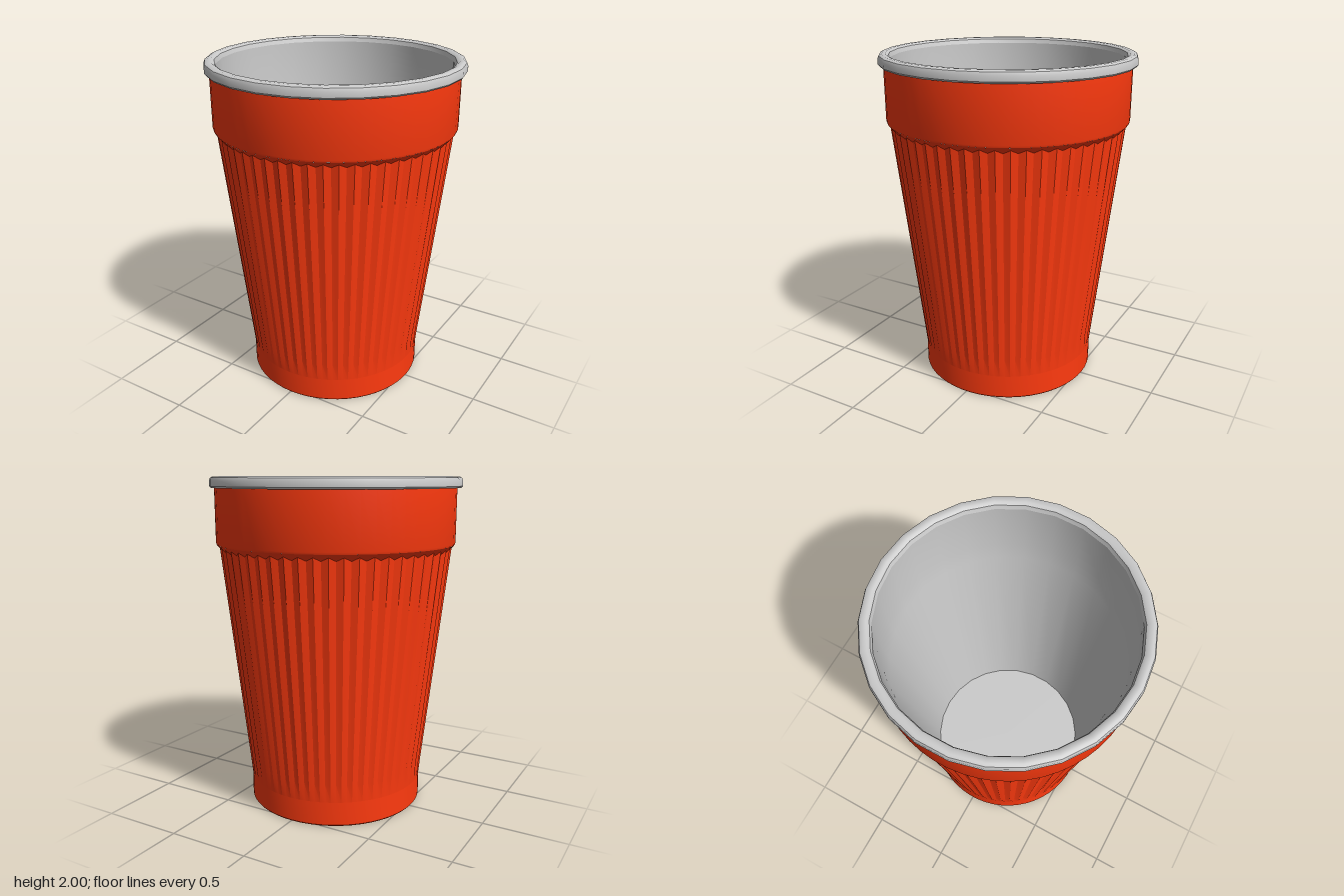
import * as THREE from 'three';
import { toCreasedNormals } from 'three/addons/utils/BufferGeometryUtils.js';

const RIBS = 54;
const red = new THREE.MeshStandardMaterial({ color: 0xff3a0f });
const grey = new THREE.MeshStandardMaterial({ color: 0xcccccc });

// Turned part from [radius, height] pairs; running upwards faces outwards
function turned(name, profile, sides, material) {
  const points = profile.map(([r, y]) => new THREE.Vector2(r, y));
  const geometry = toCreasedNormals(new THREE.LatheGeometry(points, sides), 0.6);
  const mesh = new THREE.Mesh(geometry, material);
  mesh.name = name;
  return mesh;
}

// Pleated wall: each ring has a ridge and a groove [radius, height]
function ribbedWall(rings) {
  const positions = [];
  const index = [];
  const n = RIBS * 2;
  for (const { ridge, groove } of rings) {
    for (let i = 0; i < n; i++) {
      const [r, y] = i % 2 ? groove : ridge;
      const a = (i / n) * Math.PI * 2;
      positions.push(r * Math.sin(a), y, r * Math.cos(a));
    }
  }
  for (let k = 0; k < rings.length - 1; k++) {
    for (let i = 0; i < n; i++) {
      const a = k * n + i;
      const b = k * n + ((i + 1) % n);
      index.push(a, b, a + n, b, b + n, a + n);
    }
  }
  const geometry = new THREE.BufferGeometry();
  geometry.setAttribute('position', new THREE.Float32BufferAttribute(positions, 3));
  geometry.setIndex(index);
  const mesh = new THREE.Mesh(toCreasedNormals(geometry, 0.3), red);
  mesh.name = 'ribbedWall';
  return mesh;
}

export function createModel() {
  const cup = new THREE.Group();
  cup.name = 'cup';

  // Recessed underside, foot ring and plain lower band
  cup.add(turned('base', [
    [0, 0.045], [0.455, 0.045], [0.485, 0.005], [0.495, 0], [0.53, 0],
    [0.537, 0.008], [0.537, 0.16],
  ], 54, red));

  // Tapered ribs, meeting the sloping shoulder in a zigzag edge
  cup.add(ribbedWall([
    { ridge: [0.537, 0.15], groove: [0.537, 0.15] },
    { ridge: [0.549, 0.26], groove: [0.541, 0.26] },
    { ridge: [0.699, 1.59], groove: [0.684, 1.57] },
    { ridge: [0.716, 1.608], groove: [0.716, 1.608] },
  ]));

  // Smooth upper band
  cup.add(turned('upperBand', [[0.716, 1.608], [0.72, 1.62], [0.72, 1.94]], 54, red));

  // Rolled rim
  cup.add(turned('rim', [
    [0.69, 1.94], [0.742, 1.935], [0.75, 1.945], [0.75, 1.975], [0.743, 1.992],
    [0.728, 2], [0.705, 2], [0.69, 1.99], [0.682, 1.965],
  ], 26, grey));

  // Inner wall and floor
  cup.add(turned('liner', [[0.682, 1.965], [0.68, 1.62], [0.665, 1.5], [0.505, 0.08], [0, 0.08]], 26, grey));

  return cup;
}
